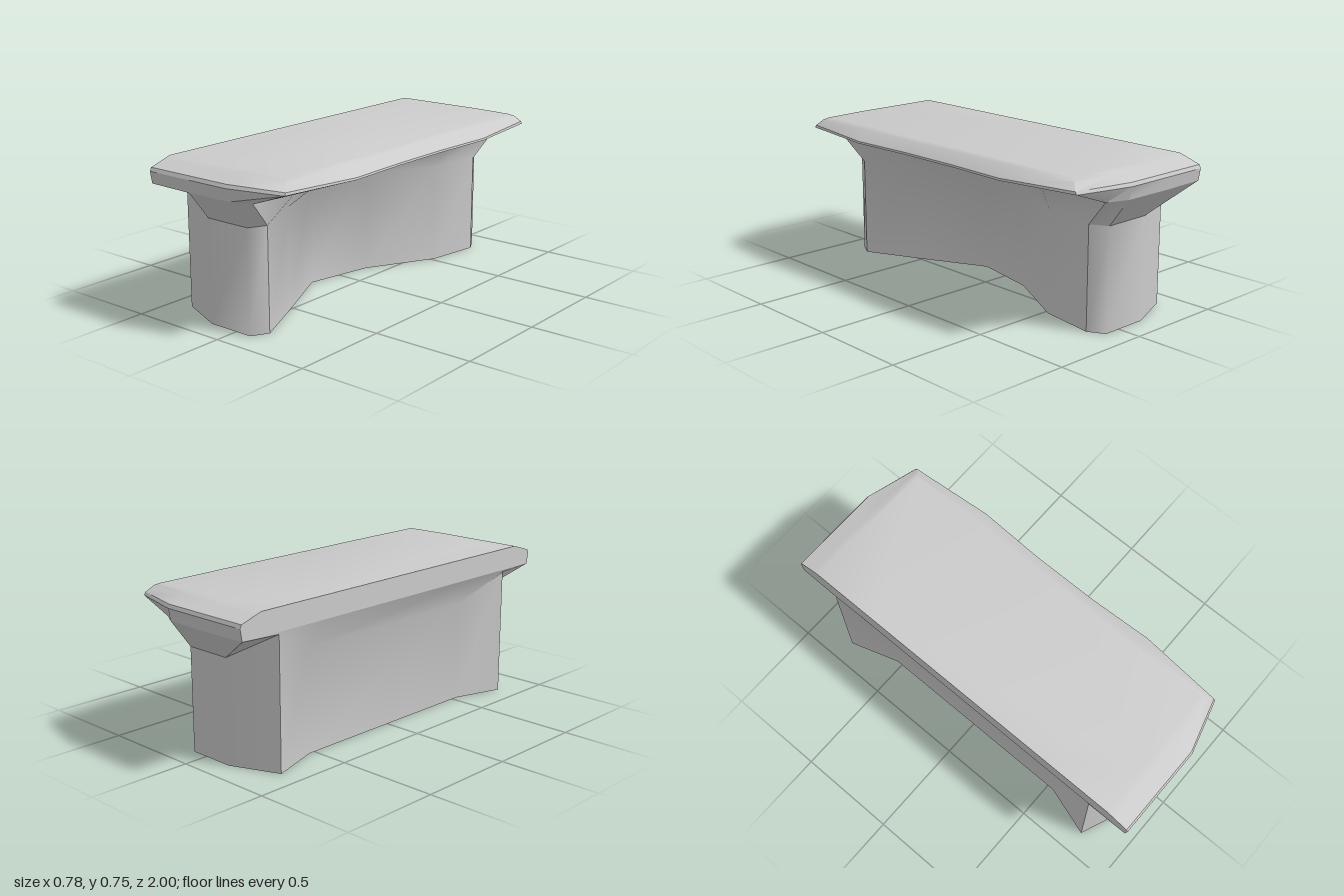
import * as THREE from 'three';
import { toCreasedNormals } from 'three/addons/utils/BufferGeometryUtils.js';

// Full ring from the +z half [x, y, z]; shift moves mirrored points in x.
function ring(half, shift = {}) {
  const mirrored = half.map(([x, y, z], i) => [x + (shift[i] || 0), y, -z]).reverse();
  return [...half, ...mirrored];
}

// Triangles between stacked rings, from point "from" round to point "to".
function skin(rings, from = 0, to = rings[0].length) {
  const pos = [];
  const n = rings[0].length;
  for (let i = 0; i < rings.length - 1; i++) {
    for (let s = from; s < to; s++) {
      const j = s % n, k = (s + 1) % n;
      const a = rings[i][j], b = rings[i][k], c = rings[i + 1][k], d = rings[i + 1][j];
      pos.push(...a, ...b, ...c, ...a, ...c, ...d);
    }
  }
  return pos;
}

// Flat face filling one ring.
function cap(r, facesDown) {
  const outline = r.map(([x, , z]) => new THREE.Vector2(x, -z));
  return THREE.ShapeUtils.triangulateShape(outline, []).flatMap(([a, b, c]) =>
    facesDown ? [...r[a], ...r[c], ...r[b]] : [...r[a], ...r[b], ...r[c]]);
}

export function createModel() {
  const group = new THREE.Group();
  const material = new THREE.MeshStandardMaterial({ color: 0xcccccc, side: THREE.DoubleSide });
  const B = -0.39; // flat back plane

  // Each half: back middle, back corner, end, end, front corner, front, front middle
  const foot = ring([
    [-0.31, 0, 0.53], [B, 0, 0.783], [-0.154, 0, 0.88], [0.085, 0, 0.88],
    [0.13, 0, 0.8], [0, 0, 0.52], [-0.17, 0, 0.17],
  ], { 5: 0.088, 6: 0.07 });
  const neck = ring([
    [-0.31, 0.503, 0.53], [B, 0.635, 0.783], [-0.154, 0.503, 0.88], [0.085, 0.503, 0.88],
    [0.13, 0.503, 0.8], [0, 0.503, 0.52], [-0.17, 0.503, 0.17],
  ], { 5: 0.088, 6: 0.07 });
  const underside = ring([
    [B, 0.645, 0.53], [B, 0.645, 0.99], [-0.154, 0.642, 0.99], [0.085, 0.642, 0.985],
    [0.172, 0.635, 0.93], [0.1, 0.632, 0.53], [0.02, 0.63, 0.17],
  ], { 5: 0.055, 6: 0.03 });
  const lowerRim = ring([
    [B, 0.703, 0.53], [B, 0.703, 1], [-0.154, 0.703, 1], [0.08, 0.703, 1],
    [0.35, 0.7, 0.925], [0.39, 0.69, 0.5], [0.376, 0.69, 0.17],
  ]);
  const upperRim = ring([
    [B, 0.72, 0.53], [B, 0.72, 0.992], [-0.154, 0.72, 0.992], [0.08, 0.72, 0.992],
    [0.348, 0.713, 0.917], [0.388, 0.7, 0.5], [0.374, 0.7, 0.17],
  ]);
  const bevel = ring([
    [B, 0.746, 0.53], [B, 0.746, 0.91], [-0.154, 0.746, 0.91], [0.085, 0.746, 0.91],
    [0.322, 0.745, 0.885], [0.328, 0.745, 0.5], [0.325, 0.745, 0.17],
  ]);
  const top = ring([
    [B, 0.755, 0.53], [B, 0.755, 0.88], [-0.154, 0.755, 0.88], [0.085, 0.755, 0.88],
    [0.3, 0.755, 0.865], [0.305, 0.755, 0.5], [0.303, 0.755, 0.17],
  ]);

  const add = (name, positions, creaseDegrees) => {
    const geo = new THREE.BufferGeometry();
    geo.setAttribute('position', new THREE.Float32BufferAttribute(positions, 3));
    const mesh = new THREE.Mesh(toCreasedNormals(geo, creaseDegrees * Math.PI / 180), material);
    mesh.name = name;
    group.add(mesh);
  };

  // Pedestal: curved ends, wavy front and hollow back, both flaring out under the top
  add('pedestalBase', cap(foot, true), 30);
  add('pedestalFront', skin([foot, neck, underside], 4, 9), 70);
  add('pedestalBack', skin([foot, neck, underside], 12, 15), 70);
  for (const [side, from] of [['left', 1], ['right', 9]]) {
    add(side + 'End', skin([foot, neck], from, from + 3), 70);
    add(side + 'Flare', skin([neck, underside], from, from + 3), 40);
  }

  // Worktop: overhanging underside with a thin rim, then a soft bevelled top
  add('worktopRim', skin([underside, lowerRim, upperRim]), 25);
  add('worktop', [...skin([upperRim, bevel, top]), ...cap(top, false)], 50);
  return group;
}
